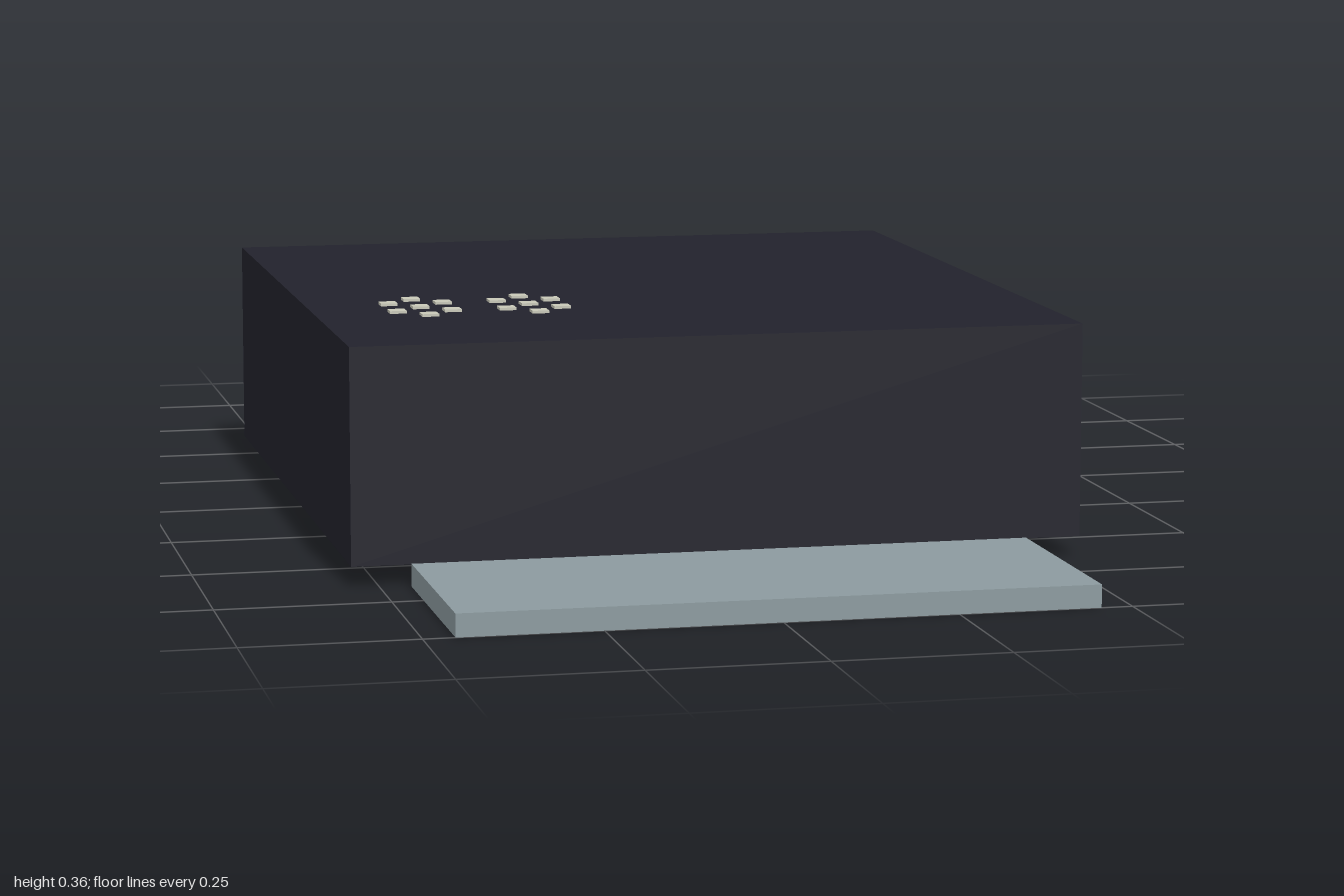
import * as THREE from 'three';

const material = (name, color) => {
  const m = new THREE.MeshStandardMaterial({ color });
  m.name = name;
  return m;
};

// Box given by its lower and upper limits on each axis
function block(name, mat, [x0, x1], [y0, y1], [z0, z1]) {
  const mesh = new THREE.Mesh(new THREE.BoxGeometry(x1 - x0, y1 - y0, z1 - z0), mat);
  mesh.position.set((x0 + x1) / 2, (y0 + y1) / 2, (z0 + z1) / 2);
  mesh.name = name;
  return mesh;
}

export function createModel() {
  const model = new THREE.Group();
  model.name = 'electronicComponent';
  const plastic = material('blackPlastic', 0x22222c);
  const metal = material('tinnedMetal', 0x8c9a9f);
  const ink = material('paleInk', 0xc8c8b8);

  // Moulded body
  model.add(block('body', plastic, [-0.54, 0.54], [0.03, 0.345], [-0.5, 0.64]));

  // Wide mounting tab at the front
  model.add(block('mountingTab', metal, [-0.455, 0.455], [0, 0.033], [0.65, 1]));

  // Three flat leads at the back, seated slightly under the body
  const leads = new THREE.Group();
  leads.name = 'leads';
  for (const x of [-0.308, -0.003, 0.303]) {
    leads.add(block('lead', metal, [x - 0.062, x + 0.062], [0.017, 0.04], [-1, -0.47]));
  }
  model.add(leads);

  // Two patches of staggered dots on the top face
  const dots = new THREE.Group();
  dots.name = 'dotMarking';
  const pitch = 0.041, half = 0.0125;
  for (let row = 0; row < 5; row++) {
    for (let col = 0; col < 7; col++) {
      if (col === 3 || (row + col) % 2 === 0) continue;
      const x = -0.426 + col * pitch, z = 0.246 + row * pitch;
      dots.add(block('dot', ink, [x - half, x + half], [0.353, 0.357], [z - half, z + half]));
    }
  }
  model.add(dots);

  return model;
}
